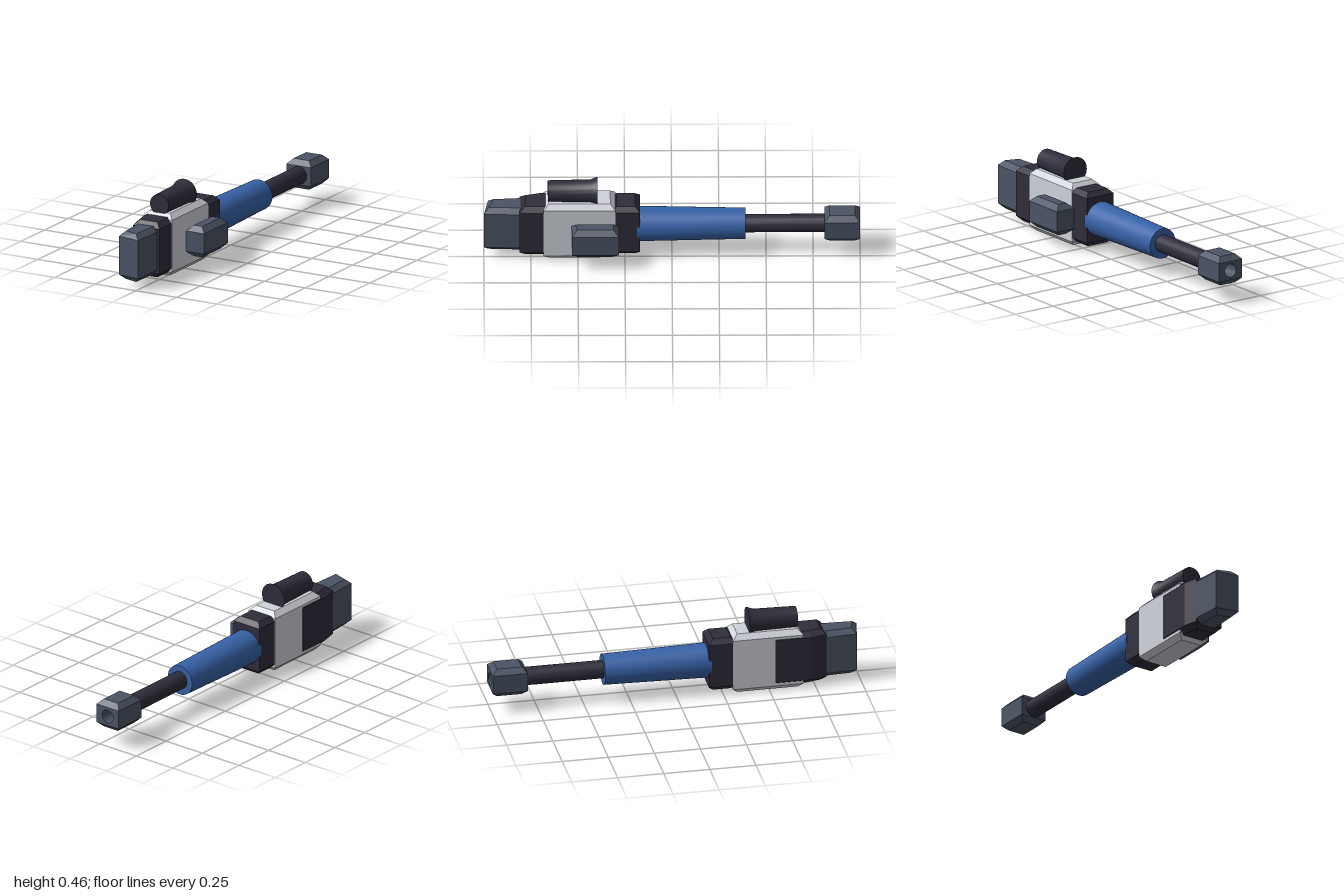
import * as THREE from 'three';
import { toCreasedNormals } from 'three/addons/utils/BufferGeometryUtils.js';

const AXIS_X = -0.054;

const mat = (name, color) => Object.assign(new THREE.MeshStandardMaterial({ color }), { name });

// Footprint corners, anticlockwise seen from above, starting front left of screen
const rect = (x0, x1, z0, z1) => [[x0, z1], [x1, z1], [x1, z0], [x0, z0]];

// Block with sharp upright edges and sloped borders round its top and bottom
function bevelBlock(foot, y0, y1, bevel, openSide = -1) {
  const mid = [0, 1].map(k => {
    const v = foot.map(p => p[k]);
    return (Math.min(...v) + Math.max(...v)) / 2;
  });
  const ring = (y, inset) => foot.map(([x, z]) => new THREE.Vector3(
    x - Math.sign(x - mid[0]) * inset, y, z - Math.sign(z - mid[1]) * inset));
  const rings = [ring(y0, bevel), ring(y0 + bevel, 0), ring(y1 - bevel, 0), ring(y1, bevel)];
  const pts = [];
  const n = foot.length;
  for (let r = 0; r < 3; r++) {
    for (let i = 0; i < n; i++) {
      if (r === 1 && i === openSide) continue;
      const j = (i + 1) % n;
      const [a, b, c, d] = [rings[r][i], rings[r][j], rings[r + 1][j], rings[r + 1][i]];
      pts.push(a, b, c, a, c, d);
    }
  }
  for (let i = 1; i < n - 1; i++) {
    pts.push(rings[3][0], rings[3][i], rings[3][i + 1]);
    pts.push(rings[0][0], rings[0][i + 1], rings[0][i]);
  }
  const g = new THREE.BufferGeometry().setFromPoints(pts);
  g.computeVertexNormals();
  return g;
}

// Turned part along z; profile is [radius, z] with z rising for outward faces
function turned(profile, y) {
  const g = new THREE.LatheGeometry(profile.map(p => new THREE.Vector2(...p)), 40);
  g.rotateX(Math.PI / 2).translate(AXIS_X, y, 0);
  return toCreasedNormals(g, 0.5);
}

export function createModel() {
  const model = new THREE.Group();
  model.name = 'model';
  const dark = mat('charcoal', 0x2f2d3b);
  const slate = mat('slate', 0x4b5464);
  const pale = mat('pale grey', 0xcfd3da);
  const blue = mat('blue', 0x3762a8);
  const add = (name, geometry, material, parent = model) => {
    const m = new THREE.Mesh(geometry, material);
    m.name = name;
    parent.add(m);
    return m;
  };

  // Main body and the blocks at its two ends
  add('body', bevelBlock(rect(-0.145, 0.037, 0.3, 0.683), 0, 0.343, 0.028), pale);
  add('foreBlock', bevelBlock(rect(-0.142, 0.034, 0.17, 0.32), 0.025, 0.326, 0.026), dark);
  add('stockCollar', bevelBlock(
    [[-0.128, 0.81], [0.033, 0.81], [0.033, 0.53], [-0.148, 0.53], [-0.148, 0.73]],
    0.02, 0.325, 0.028), dark);

  // Stock, narrowing to a slightly slanted end
  add('stock', bevelBlock(
    [[-0.118, 0.977], [0.012, 1.0], [0.02, 0.77], [-0.129, 0.77]],
    0.04, 0.306, 0.027), slate);

  // Side box
  add('sideBox', bevelBlock(rect(0.037, 0.147, 0.283, 0.533), 0.077, 0.248, 0.029), slate);

  // Sight with a flared rear end
  add('sight', turned(
    [[0, 0.395], [0.076, 0.395], [0.062, 0.432], [0.057, 0.66], [0, 0.66]], 0.383), dark);

  // Handguard and barrel
  add('handguard', turned([[0, -0.39], [0.083, -0.39], [0.094, 0.185], [0, 0.185]], 0.174), blue);
  add('barrel', turned([[0, -0.83], [0.049, -0.83], [0.049, -0.37], [0, -0.37]], 0.175), dark);

  // Muzzle with a bored end
  const muzzle = new THREE.Group();
  muzzle.name = 'muzzle';
  model.add(muzzle);
  const halfW = 0.076, y0 = 0.095, y1 = 0.255, bevel = 0.028, bore = 0.037;
  add('muzzleBlock', bevelBlock(
    rect(AXIS_X - halfW, AXIS_X + halfW, -1, -0.81), y0, y1, bevel, 2), slate, muzzle);
  const halfH = (y1 - y0) / 2 - bevel;
  const face = new THREE.Shape([[-1, -1], [1, -1], [1, 1], [-1, 1]]
    .map(([x, y]) => new THREE.Vector2(x * halfW, y * halfH)));
  face.holes.push(new THREE.Path().absarc(0, 0, bore, 0, Math.PI * 2, true));
  const plate = add('muzzleFace', new THREE.ShapeGeometry(face, 20), slate, muzzle);
  plate.rotation.y = Math.PI;
  plate.position.set(AXIS_X, (y0 + y1) / 2, -1);
  add('bore', turned([[0, -0.86], [bore, -0.86], [bore, -1]], (y0 + y1) / 2), slate, muzzle);

  return model;
}
